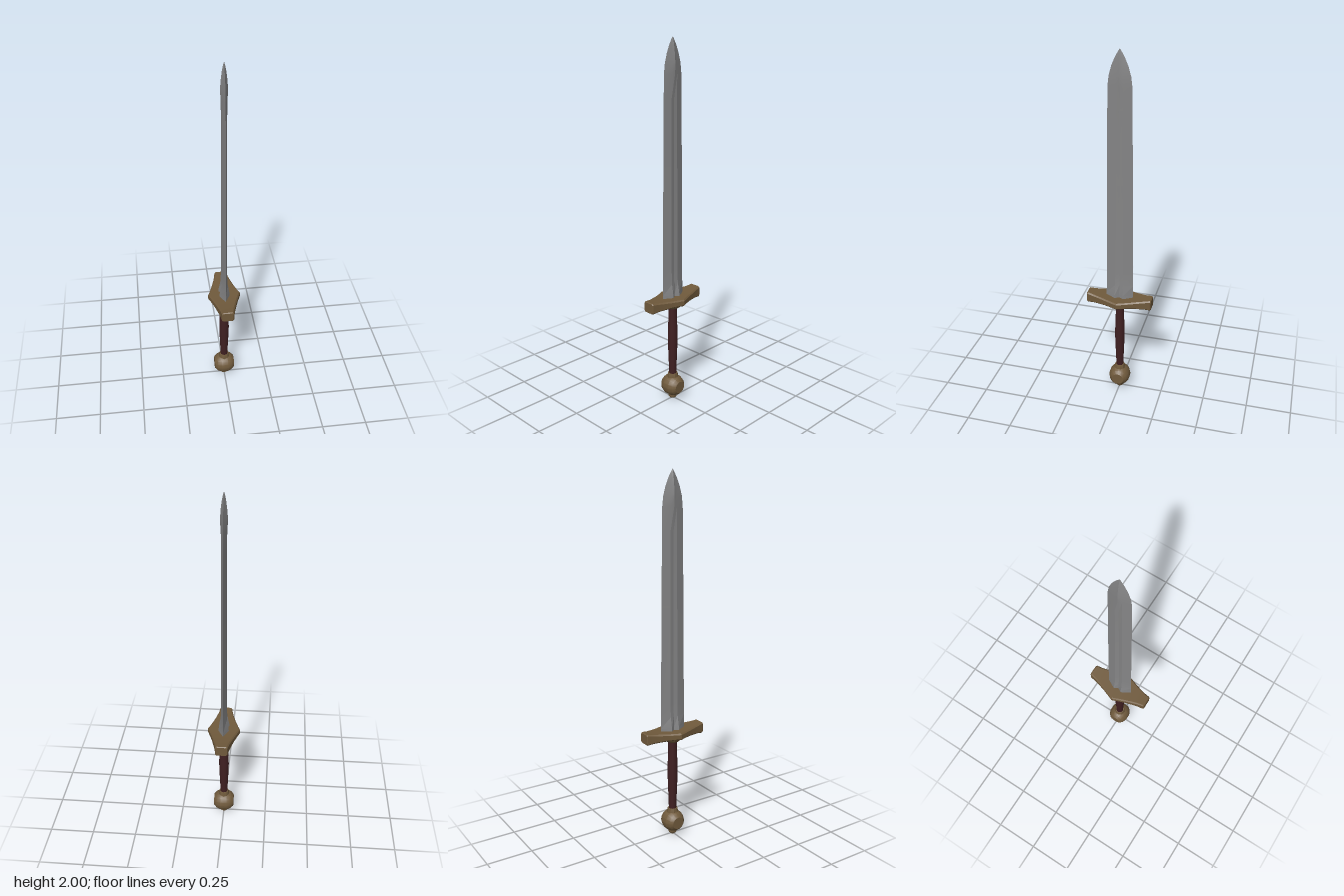
import * as THREE from 'three';
import { toCreasedNormals } from 'three/addons/utils/BufferGeometryUtils.js';

// Skin a stack of equal-length rings; each ring is { y, points: [[x, z], ...] }, running from +x towards +z
function loft(rings) {
  const n = rings[0].points.length;
  const positions = [];
  const index = [];
  for (const { y, points } of rings) for (const [x, z] of points) positions.push(x, y, z);
  for (let r = 0; r < rings.length - 1; r++) {
    for (let i = 0; i < n; i++) {
      const a = r * n + i;
      const b = r * n + (i + 1) % n;
      index.push(a, a + n, b, b, a + n, b + n);
    }
  }
  const top = (rings.length - 1) * n;
  for (let i = 1; i < n - 1; i++) {
    index.push(0, i, i + 1);
    index.push(top, top + i + 1, top + i);
  }
  const geometry = new THREE.BufferGeometry();
  geometry.setAttribute('position', new THREE.Float32BufferAttribute(positions, 3));
  geometry.setIndex(index);
  return geometry;
}

// Double-edged section: w = half width, r = ridge half thickness, c = centre half thickness
function bladeRing([y, w, r, c]) {
  const q = w * 0.3;
  return { y, points: [[c, 0], [r, q], [0, w], [-r, q], [-c, 0], [-r, -q], [0, -w], [r, -q]] };
}

// Rectangle with bevelled corners
function bevelRing([y, hx, hz]) {
  const b = 0.007;
  return {
    y,
    points: [
      [hx, -hz + b], [hx, hz - b], [hx - b, hz], [-hx + b, hz],
      [-hx, hz - b], [-hx, -hz + b], [-hx + b, -hz], [hx - b, -hz],
    ],
  };
}

function turned(profile, sides) {
  return new THREE.LatheGeometry(profile.map(([r, y]) => new THREE.Vector2(r, y)), sides);
}

export function createModel() {
  const steel = new THREE.MeshStandardMaterial({ name: 'steel', color: 0x858586 });
  const bronze = new THREE.MeshStandardMaterial({ name: 'bronze', color: 0x705a3c });
  const leather = new THREE.MeshStandardMaterial({ name: 'leather', color: 0x402022 });

  const model = new THREE.Group();
  model.name = 'sword';
  const add = (name, geometry, material, crease = 0.5) => {
    const mesh = new THREE.Mesh(toCreasedNormals(geometry, crease), material);
    mesh.name = name;
    model.add(mesh);
    return mesh;
  };

  // Blade: flared root, shallow fuller, diamond point
  add('blade', loft([
    [0.6, 0.077, 0.031, 0.016],
    [0.64, 0.076, 0.028, 0.015],
    [0.7, 0.075, 0.017, 0.012],
    [0.78, 0.074, 0.014, 0.010],
    [1.3, 0.069, 0.013, 0.009],
    [1.7, 0.064, 0.012, 0.010],
    [1.82, 0.062, 0.014, 0.017],
    [1.87, 0.056, 0.013, 0.019],
    [1.92, 0.042, 0.009, 0.015],
    [1.96, 0.025, 0.006, 0.010],
    [1.985, 0.011, 0.003, 0.005],
    [2.0, 0.001, 0.0004, 0.0006],
  ].map(bladeRing)), steel, 0.2);

  // Crossguard: lofted along its length, wide in the middle and tall at the ends
  const half = [
    [0, 0.09, 0.019],
    [0.03, 0.078, 0.019],
    [0.07, 0.063, 0.02],
    [0.11, 0.05, 0.023],
    [0.145, 0.04, 0.026],
    [0.178, 0.034, 0.031],
    [0.183, 0.03, 0.027],
  ];
  const mirrored = half.slice(1).reverse().map(([y, a, b]) => [-y, a, b]);
  const guard = loft([...mirrored, ...half].map(bevelRing));
  guard.rotateX(Math.PI / 2);
  add('crossguard', guard, bronze, 0.3).position.y = 0.605;

  // Collar under the guard
  add('collar', turned([
    [0, 0.556], [0.034, 0.556], [0.046, 0.567], [0.05, 0.578], [0.05, 0.592], [0, 0.592],
  ], 10), bronze);

  // Grip, slightly swollen in the middle
  add('grip', turned([
    [0, 0.14], [0.021, 0.14], [0.022, 0.2], [0.025, 0.27], [0.028, 0.36],
    [0.027, 0.43], [0.024, 0.5], [0.024, 0.565], [0, 0.565],
  ], 12), leather, 0.7);

  // Wheel pommel with flat faces to either side
  const pommel = turned([
    [0, -0.057], [0.034, -0.057], [0.05, -0.042], [0.06, -0.018],
    [0.06, 0.018], [0.05, 0.042], [0.034, 0.057], [0, 0.057],
  ], 16);
  pommel.rotateZ(Math.PI / 2);
  add('pommel', pommel, bronze).position.y = 0.08;

  // Neck above the pommel and rivet button below it
  add('pommelNeck', turned([
    [0, 0.115], [0.034, 0.115], [0.031, 0.138], [0.027, 0.156], [0, 0.156],
  ], 10), bronze);
  add('pommelButton', turned([
    [0, 0], [0.015, 0], [0.023, 0.009], [0.025, 0.035], [0, 0.035],
  ], 10), bronze);

  return model;
}
